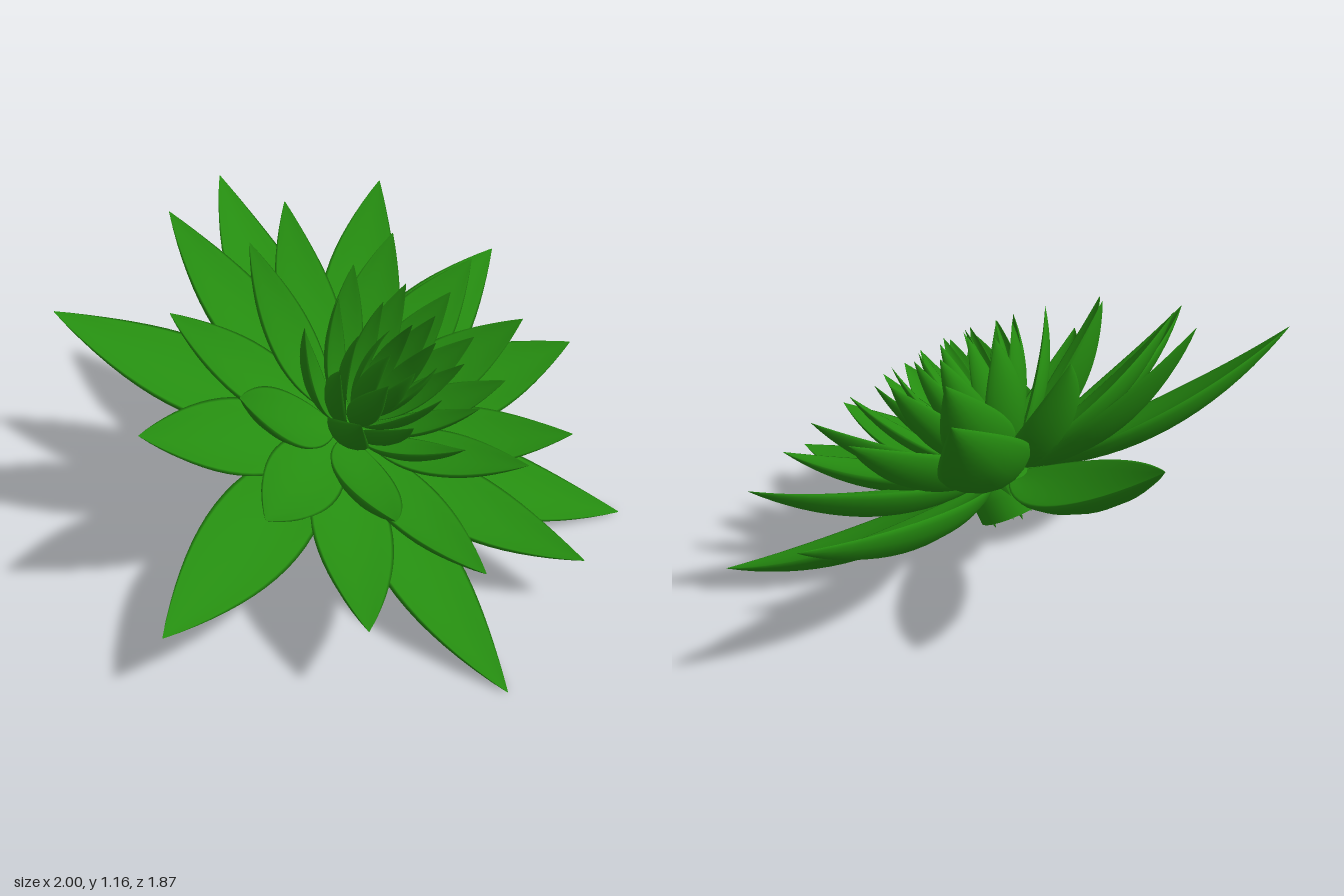
import * as THREE from 'three';

const green = new THREE.MeshStandardMaterial({ color: 0x258c10 });
const greenThin = new THREE.MeshStandardMaterial({ color: 0x258c10, side: THREE.DoubleSide });

// The rosette grows along a tilted axis from the underside of its stub
const ROOT = new THREE.Vector3(-0.09, 0.3, -0.1);
const AXIS = new THREE.Vector3(0.39, 0.83, 0.4).normalize();
const TILT = new THREE.Quaternion().setFromUnitVectors(new THREE.Vector3(0, 1, 0), AXIS);

// Boat-shaped petal: lens cross-sections swept along a sagging curve to the tip
function petalGeometry(tip, baseRadius, baseHeight, width) {
  const UP = new THREE.Vector3(0, 1, 0);
  const radial = new THREE.Vector3(tip.x, 0, tip.z).normalize();
  const side = UP.clone().cross(radial);
  const base = radial.clone().multiplyScalar(baseRadius).setY(baseHeight);
  const chord = tip.clone().sub(base);
  const under = side.clone().cross(chord); // outward and down, as long as the chord
  const middle = base.clone().add(tip).multiplyScalar(0.5).addScaledVector(under, 0.13);
  const path = new THREE.QuadraticBezierCurve3(base, middle, tip);

  const rows = 18, cols = 16, position = [], index = [];
  for (let i = 0; i <= rows; i++) {
    const t = i / rows;
    const p = path.getPoint(t);
    const normal = path.getTangent(t).cross(side).normalize();
    const w = width * Math.max(0.01, Math.pow(Math.max(0, Math.sin(Math.PI * Math.pow(t, 0.85))), 0.9));
    for (let j = 0; j < cols; j++) {
      const a = (j / cols) * Math.PI * 2;
      const c = Math.cos(a), s = Math.sin(a);
      const lift = w * (0.14 * c * c + (s > 0 ? 0.05 : 0.13) * s - 0.04);
      const v = p.clone().addScaledVector(side, 0.5 * w * c).addScaledVector(normal, lift);
      position.push(v.x, v.y, v.z);
      if (i < rows) {
        const k = (j + 1) % cols, r = i * cols;
        index.push(r + j, r + k, r + cols + j, r + k, r + cols + k, r + cols + j);
      }
    }
  }
  const g = new THREE.BufferGeometry();
  g.setAttribute('position', new THREE.Float32BufferAttribute(position, 3));
  g.setIndex(index);
  g.computeVertexNormals();
  return g;
}

// Large petals, by the place of each tip
const tipRings = [
  { name: 'outerPetal', base: [0.08, 0.16], width: 0.33, tips: [
    [-1, 0.98, -0.03], [-0.4, 1.04, -0.94], [0.66, 0.72, -0.81],
    [1, 0.01, 0.04], [0.37, 0.01, 0.93], [-0.71, 0.27, 0.82]] },
  { name: 'secondPetal', base: [0.07, 0.17], width: 0.31, tips: [
    [-0.6, 1.17, -0.35], [0.19, 1.08, -0.72], [0.85, 0.58, -0.28],
    [0.71, 0.21, 0.55], [-0.08, 0.31, 0.92], [-0.74, 0.8, 0.48]] },
  { name: 'thirdPetal', base: [0.06, 0.18], width: 0.27, tips: [
    [-0.62, 1, 0.07], [-0.19, 1.13, -0.47], [0.5, 0.86, -0.46],
    [0.76, 0.45, 0.14], [0.33, 0.33, 0.72], [-0.37, 0.6, 0.7]] },
  { name: 'fourthPetal', base: [0.06, 0.19], width: 0.24, tips: [
    [-0.34, 1.15, -0.11], [0.19, 1.02, -0.39], [0.63, 0.76, -0.16],
    [0.54, 0.5, 0.38], [0.03, 0.58, 0.73], [-0.42, 0.88, 0.43]] },
];

// Inner rings of six: tip radius, tip height, width
const innerRings = [
  [0.38, 0.64, 0.17], [0.3, 0.65, 0.14], [0.2, 0.67, 0.11], [0.1, 0.68, 0.09],
];

export function createModel() {
  const model = new THREE.Group();
  model.name = 'succulent';
  const rosette = new THREE.Group();
  rosette.name = 'rosette';
  rosette.position.copy(ROOT);
  rosette.quaternion.copy(TILT);
  model.add(rosette);

  const add = (name, geometry, material = green) => {
    const mesh = new THREE.Mesh(geometry, material);
    mesh.name = name;
    rosette.add(mesh);
    return mesh;
  };

  // Large outer petals
  const untilt = TILT.clone().invert();
  for (const ring of tipRings) {
    for (const t of ring.tips) {
      const tip = new THREE.Vector3(...t).sub(ROOT).applyQuaternion(untilt);
      add(ring.name, petalGeometry(tip, ...ring.base, ring.width));
    }
  }

  // Upright inner petals, each ring turned half a step from the last
  innerRings.forEach(([radius, height, width], k) => {
    for (let i = 0; i < 6; i++) {
      const a = THREE.MathUtils.degToRad(60 * i + (k % 2 ? 31 : 0));
      const tip = new THREE.Vector3(radius * Math.cos(a), height, radius * Math.sin(a));
      add('innerPetal', petalGeometry(tip, 0.055 - 0.012 * k, 0.2 + 0.015 * k, width));
    }
  });

  // Hollow stub with a closed top, hidden under the petals
  const stub = [[0.15, 0.03], [0.15, 0.11], [0.14, 0.15], [0.09, 0.19], [0, 0.21]]
    .map(([x, y]) => new THREE.Vector2(x, y));
  add('stub', new THREE.LatheGeometry(stub, 24), greenThin);

  // Pointed petal roots showing below the stub
  for (let i = 0; i < 12; i++) {
    const a = (i / 12) * Math.PI * 2, r = i % 2 ? 0.12 : 0.07;
    const root = add('petalRoot', new THREE.ConeGeometry(0.055, 0.18, 4));
    root.position.set(r * Math.cos(a), 0.095, r * Math.sin(a));
    root.rotation.x = Math.PI;
  }
  return model;
}
